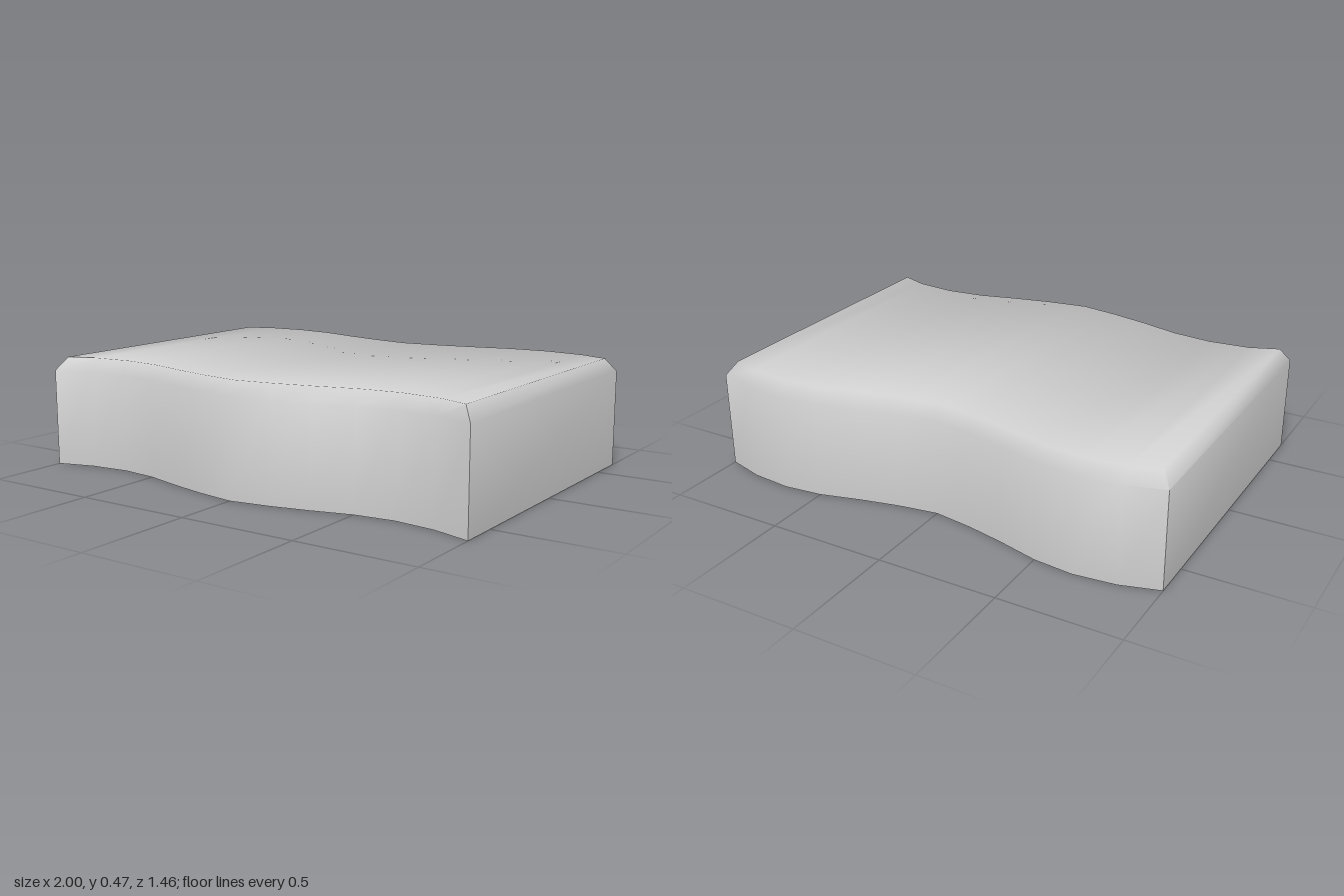
import * as THREE from 'three';
import { toCreasedNormals } from 'three/addons/utils/BufferGeometryUtils.js';

export function createModel() {
  const group = new THREE.Group();
  group.name = 'pavingStone';

  // Wavy outline: shift in z of both long sides, from the middle to one end
  const half = [[0, 0.061], [0.17, 0.035], [0.33, -0.001], [0.5, -0.047], [0.667, -0.065], [0.84, -0.047], [1, 0]];
  const wave = [...half.slice(1).reverse().map(([x, w]) => [-x, w]), ...half];
  const depth = 0.665, shoulder = 0.41, top = 0.467, inset = 0.04;

  // One cross-section per outline point: back foot, over the top, front foot
  const positions = [];
  for (const [x, w] of wave) {
    const xTop = THREE.MathUtils.clamp(x, -1 + inset, 1 - inset);
    const b = w - depth, f = w + depth;
    positions.push(
      x, 0, b, x, shoulder, b, xTop, top, b + inset,
      xTop, top, f - inset, x, shoulder, f, x, 0, f);
  }

  const index = [];
  const quad = (a, b, c, d) => index.push(a, b, d, d, b, c);
  const last = wave.length - 1;

  // Long sides, bevels, top and underside
  for (let i = 0; i < last; i++) {
    for (let j = 0; j < 6; j++) {
      const k = (j + 1) % 6;
      quad(i * 6 + j, i * 6 + k, i * 6 + 6 + k, i * 6 + 6 + j);
    }
  }
  // Flat ends with their bevels
  const e = last * 6;
  quad(e, e + 1, e + 4, e + 5);
  quad(e + 1, e + 2, e + 3, e + 4);
  quad(5, 4, 1, 0);
  quad(4, 3, 2, 1);

  const geometry = new THREE.BufferGeometry();
  geometry.setAttribute('position', new THREE.Float32BufferAttribute(positions, 3));
  geometry.setIndex(index);

  const stone = new THREE.Mesh(
    toCreasedNormals(geometry, THREE.MathUtils.degToRad(62)),
    new THREE.MeshStandardMaterial({ color: 0xcccccc }));
  stone.name = 'stoneBlock';
  group.add(stone);
  return group;
}
